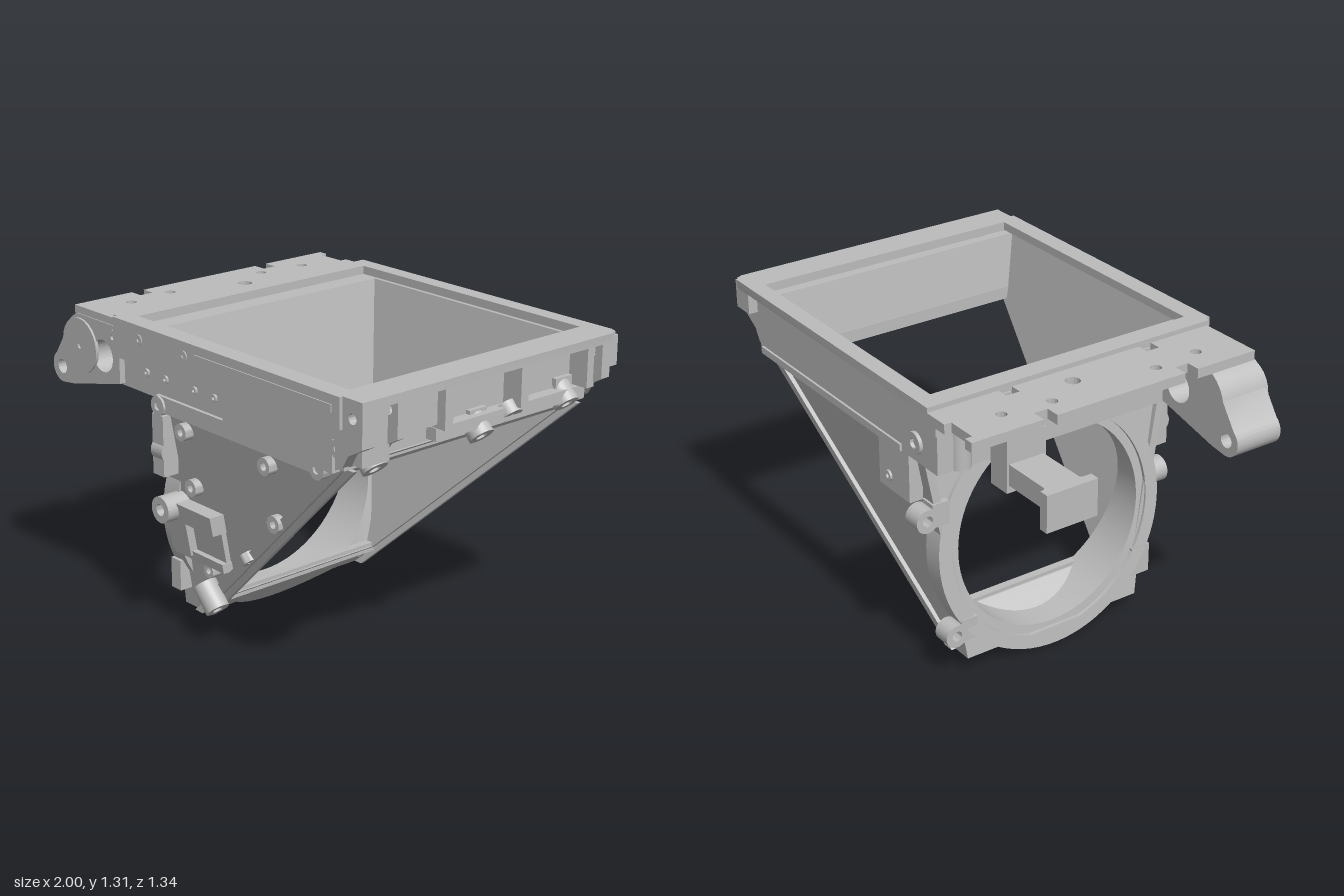
import * as THREE from 'three';
import { toCreasedNormals } from 'three/addons/utils/BufferGeometryUtils.js';

const grey = new THREE.MeshStandardMaterial({ color: 0xbcbcbc });
grey.name = 'cast grey';

export function createModel() {
  const root = new THREE.Group();
  root.name = 'mirrorHousing';

  const add = (name, geo) => {
    const m = new THREE.Mesh(toCreasedNormals(geo.index ? geo.toNonIndexed() : geo, 0.6), grey);
    m.name = name;
    root.add(m);
    return m;
  };
  // box from its limits
  const box = (name, x0, x1, y0, y1, z0, z1) => {
    const g = new THREE.BoxGeometry(x1 - x0, y1 - y0, z1 - z0);
    g.translate((x0 + x1) / 2, (y0 + y1) / 2, (z0 + z1) / 2);
    return add(name, g);
  };
  const poly = (pts) => new THREE.Shape(pts.map((p) => new THREE.Vector2(p[0], p[1])));
  const circle = (x, y, r) => new THREE.Path().absarc(x, y, r, 0, Math.PI * 2, true);
  const rect = (x0, x1, y0, y1) => new THREE.Path([[x0, y0], [x0, y1], [x1, y1], [x1, y0]].map((p) => new THREE.Vector2(...p)));
  const extrude = (shape, depth) => new THREE.ExtrudeGeometry(shape, { depth, bevelEnabled: false, curveSegments: 40 });

  // outline in (x, y), thickness along z, optionally leaning with height
  const plateZ = (name, shape, z0, z1, lean = 0) => {
    const g = extrude(shape, z1 - z0);
    const p = g.attributes.position;
    for (let i = 0; i < p.count; i++) p.setZ(i, p.getZ(i) + z0 + lean * p.getY(i));
    return add(name, g);
  };
  // outline in (x, -z), thickness along y
  const plateY = (name, shape, y0, y1) => {
    const g = extrude(shape, y1 - y0);
    g.rotateX(-Math.PI / 2);
    g.translate(0, y0, 0);
    return add(name, g);
  };
  // outline in (-z, y), x limits given as functions of height
  const plateX = (name, shape, xa, xb) => {
    const g = extrude(shape, 1);
    g.rotateY(Math.PI / 2);
    const p = g.attributes.position;
    for (let i = 0; i < p.count; i++) {
      const y = p.getY(i), t = p.getX(i);
      p.setX(i, xa(y) + (xb(y) - xa(y)) * t);
    }
    return add(name, g);
  };
  // drilled boss centred at a point along a direction
  const boss = (name, pos, dir, r, len, hole = r * 0.45) => {
    const s = new THREE.Shape().absarc(0, 0, r, 0, Math.PI * 2);
    s.holes.push(circle(0, 0, hole));
    const g = new THREE.ExtrudeGeometry(s, { depth: len, bevelEnabled: false, curveSegments: 12 });
    g.translate(0, 0, -len / 2);
    const m = add(name, g);
    m.quaternion.setFromUnitVectors(new THREE.Vector3(0, 0, 1), new THREE.Vector3(...dir).normalize());
    m.position.set(...pos);
    return m;
  };

  const slantX = (y) => -0.25 + y / 0.92;
  const frontX = (y) => -0.33 + 0.07 * y;
  const innerX = (y) => Math.min(slantX(y), -0.24 + (1.02 - y) * 0.19);
  const slantDir = [0.676, -0.737, 0];

  // lens wall, thicker towards the bottom
  const wall = poly([[-0.585, 1.04], [-0.437, 0.19], [-0.42, 0.07], [-0.28, 0.07], [0.28, 0.07], [0.42, 0.07], [0.437, 0.19], [0.585, 1.04]]);
  wall.holes.push(circle(0, 0.535, 0.437));
  plateX('lensWall', wall, (y) => frontX(y) + 0.015, innerX);
  // its continuation up to the frame rebate
  plateX('upperLensWall', poly([[-0.57, 1.02], [0.57, 1.02], [0.61, 1.27], [-0.61, 1.27]]), () => -0.4, innerX);

  // round lens flange
  const flange = new THREE.Shape().absarc(0, 0.535, 0.535, 0, Math.PI * 2);
  flange.holes.push(circle(0, 0.535, 0.475));
  plateX('lensFlange', flange, frontX, (y) => Math.min(innerX(y), frontX(y) + 0.09));

  // sloping plate closing the bottom, rounded to follow the flange
  const apron = new THREE.Shape();
  apron.moveTo(0.437, 0.17);
  apron.lineTo(-0.437, 0.17);
  apron.lineTo(-0.44, 0.07);
  apron.lineTo(-0.27, 0.073);
  apron.absarc(0, 0.535, 0.535, Math.PI * 1.333, Math.PI * 1.667);
  apron.lineTo(0.44, 0.07);
  for (const x of [-0.39, 0.39]) apron.holes.push(circle(x, 0.115, 0.016));
  plateX('lowerApron', apron, (y) => Math.max(frontX(y), slantX(y) - 0.05), slantX);
  plateX('apronCore', new THREE.Shape().absarc(0, 0.535, 0.53, Math.PI * 1.333, Math.PI * 1.667), frontX, (y) => slantX(y) - 0.01);
  box('lowerSill', -0.11, -0.075, 0.145, 0.185, -0.42, 0.42);

  // leaning side walls with a raised rim along the slanted edge
  const side = [[-0.27, 1.03], [-0.3, 0.08], [slantX(0.08), 0.08], [slantX(1.03), 1.03], [0.84, 1.27], [-0.36, 1.27], [-0.36, 1.03]];
  const rim = [[slantX(0.08) - 0.06, 0.08], [slantX(0.08), 0.08], [slantX(1.03), 1.03], [slantX(1.03) - 0.06, 1.03]];
  const lip = rim.map(([x, y]) => [x + 0.025, y - 0.012]);
  for (const s of [1, -1]) {
    const lim = (a, b) => (s > 0 ? [a, b] : [-b, -a]);
    plateZ('sideWall', poly(side), ...lim(0.368, 0.402), s * 0.18);
    plateZ('slantRim', poly(rim), ...lim(0.37, 0.42), s * 0.18);
    plateZ('slantLip', poly(lip), ...lim(0.385, 0.405), s * 0.18);
  }
  plateZ('slantTopBar', poly([[0.79, 0.985], [slantX(0.985), 0.985], [slantX(1.04), 1.04], [0.79, 1.04]]), -0.59, 0.59);
  plateZ('endWall', poly([[0.79, 1.02], [0.865, 1.02], [0.865, 1.27], [0.82, 1.27]]), -0.6, 0.6);

  // upper frame with a rebated opening
  const body = poly([[-0.44, -0.61], [0.87, -0.61], [0.87, 0.63], [-0.44, 0.63]]);
  body.holes.push(rect(-0.31, 0.84, -0.585, 0.585));
  plateY('frameBody', body, 1.02, 1.18);
  const mid = poly([[-0.44, -0.64], [0.87, -0.64], [0.87, 0.635], [-0.44, 0.635]]);
  mid.holes.push(rect(-0.34, 0.84, -0.605, 0.605));
  plateY('frameMiddle', mid, 1.18, 1.27);
  const top = poly([[-0.44, -0.64], [1, -0.64], [1, 0.63], [0.988, 0.658], [0.96, 0.67], [-0.44, 0.67]]);
  top.holes.push(rect(-0.36, 0.86, -0.58, 0.6));
  plateY('frameTop', top, 1.275, 1.31);

  // front face rails
  box('frontUpperRail', -0.42, 0.9, 1.19, 1.31, 0.63, 0.66);
  box('frontStepRail', 0.1, 0.86, 1.245, 1.275, 0.65, 0.665);
  box('frontMiddleRail', -0.42, 0.87, 1.14, 1.18, 0.61, 0.64);
  box('frontPlate', 0.23, 0.84, 1.01, 1.15, 0.59, 0.64);
  box('frontLowerRail', -0.2, 0.77, 0.975, 1.04, 0.575, 0.625);
  box('backGrooveRail', -0.2, 0.85, 1.02, 1.05, -0.64, -0.58);
  for (const x of [-0.27, -0.15, 0.03, 0.15]) boss('railPin', [x, 1.11, 0.61], [0, 0, 1], 0.016, 0.02);
  for (const x of [-0.25, 0.03]) boss('railPin', [x, 1.255, 0.66], [0, 0, 1], 0.02, 0.01);
  boss('cornerBoss', [-0.18, 1.0, 0.61], [0, 0, 1], 0.04, 0.05);
  boss('cornerBoss', [0.75, 1.0, 0.61], [0, 0, 1], 0.04, 0.05);
  boss('cornerBoss', [0.87, 1.11, 0.62], [0, 0, 1], 0.035, 0.05);

  // open channel at the end: cheeks, ledge and ribs
  const cheek = () => {
    const s = poly([[0.862, 1.03], [0.9, 1.05], [0.93, 1.1], [1, 1.14], [1, 1.31], [0.862, 1.31]]);
    s.holes.push(circle(0.95, 1.24, 0.02));
    return s;
  };
  plateZ('endCheek', cheek(), 0.58, 0.645);
  plateZ('endCheek', cheek(), 0.44, 0.48);
  plateZ('endCheek', cheek(), -0.62, -0.575);
  plateZ('endChamfer', poly([[0.865, 1.245], [0.985, 1.28], [0.865, 1.28]]), -0.575, 0.44);
  box('endCornerBlock', 0.865, 0.95, 1.05, 1.28, 0.47, 0.6);
  box('endCornerPad', 0.9, 1, 1.18, 1.3, -0.66, -0.6);
  box('endWallPad', 0.865, 0.93, 1.12, 1.28, 0.22, 0.44);
  box('endLedge', 0.865, 0.92, 1.05, 1.1, -0.575, 0.215);
  for (const z of [0.19, -0.2, -0.56]) box('endRib', 0.865, 0.96, 1.1, 1.28, z - 0.02, z + 0.02);
  for (const [z, y] of [[0.5, 1.045], [-0.03, 1.045], [-0.49, 1.07]]) {
    boss('slantBoss', [0.88, y, z], slantDir, 0.05, 0.09);
    box('bossWeb', 0.83, 0.89, y + 0.01, y + 0.07, z - 0.045, z + 0.045);
  }
  boss('ledgePin', [0.9, 1.08, -0.18], slantDir, 0.045, 0.05, 0.01);

  // perforated deck in front of the opening
  const deck = poly([[-0.72, -0.63], [-0.4, -0.63], [-0.4, 0.67], [-0.55, 0.67], [-0.55, 0.64], [-0.68, 0.64], [-0.68, 0.67], [-0.72, 0.67],
    [-0.72, 0.36], [-0.66, 0.36], [-0.66, 0.3], [-0.72, 0.3], [-0.72, -0.29], [-0.66, -0.29], [-0.66, -0.35], [-0.72, -0.35]]);
  for (const [x, z, r] of [[-0.6, -0.46, 0.022], [-0.62, -0.25, 0.022], [-0.53, -0.09, 0.03], [-0.62, 0.23, 0.022], [-0.6, 0.44, 0.022]]) deck.holes.push(circle(x, -z, r));
  for (const z of [-0.33, 0.32]) deck.holes.push(rect(-0.49, -0.425, -z - 0.03, -z + 0.03));
  plateY('deck', deck, 1.25, 1.29);

  // pivot block at the front corner
  const pivot = new THREE.Shape();
  pivot.moveTo(-0.42, 1.03);
  pivot.lineTo(-0.42, 1.26);
  pivot.lineTo(-0.7, 1.26);
  pivot.quadraticCurveTo(-0.77, 1.23, -0.79, 1.16);
  pivot.lineTo(-0.86, 1.06);
  pivot.absarc(-0.82, 1.01, 0.065, 2.3, 4.8, false);
  pivot.lineTo(-0.74, 0.955);
  pivot.holes.push(circle(-0.82, 1.01, 0.03), circle(-0.53, 1.12, 0.066));
  plateZ('pivotBlock', pivot, 0.42, 0.635);
  boss('pivotDisc', [-0.68, 1.13, 0.637], [0, 0, 1], 0.115, 0.014, 0.012);
  boss('pivotPin', [-0.45, 1.215, 0.637], [0, 0, 1], 0.03, 0.016, 0.01);

  // rear latch arm with flared end
  box('latchBracket', -0.72, -0.62, 1.04, 1.26, -0.52, -0.35);
  plateY('latchArm', poly([[-1, 0.33], [-0.955, 0.335], [-0.93, 0.36], [-0.65, 0.36], [-0.65, 0.51], [-0.93, 0.51], [-0.955, 0.545], [-1, 0.55]]), 1.07, 1.155);
  box('latchEnd', -1, -0.96, 1.02, 1.17, -0.55, -0.33);
  boss('latchPin', [-0.9, 1.06, -0.435], [0, 1, 0], 0.035, 0.08);
  boss('deckPost', [-0.42, 1.14, -0.52], [0, 1, 0], 0.045, 0.24);

  // bosses on the front wall
  for (const x of [-0.08, 0.42]) for (const y of [0.67, 0.91]) boss('wallBoss', [x, y, 0.415 + 0.18 * y], [0, 0, 1], 0.035, 0.05);

  // mounting bracket on the front wall
  plateZ('bracketTop', poly([[-0.2, 0.51], [0.06, 0.51], [0.06, 0.59], [-0.2, 0.59]]), 0.39, 0.47, 0.18);
  plateZ('bracketBase', poly([[-0.25, 0.34], [0.06, 0.34], [0.06, 0.38], [-0.25, 0.38]]), 0.39, 0.45, 0.18);
  plateZ('bracketCheek', poly([[-0.25, 0.36], [-0.13, 0.36], [-0.13, 0.53], [-0.25, 0.53]]), 0.39, 0.46, 0.18);
  plateZ('bracketTrough', poly([[-0.13, 0.37], [0.055, 0.37], [0.055, 0.52], [-0.13, 0.52]]), 0.39, 0.425, 0.18);
  boss('bracketBoss', [-0.2, 0.56, 0.56], [0, 0, 1], 0.055, 0.12);
  boss('bracketBoss', [-0.04, 0.32, 0.48], [0, 0, 1], 0.03, 0.06);
  boss('slantFoot', [-0.05, 0.2, 0.49], slantDir, 0.05, 0.12);
  boss('slantFoot', [0.2, 0.45, 0.5], slantDir, 0.03, 0.04);

  // lugs on the front side of the flange and drilled tabs on the rear side
  box('frontLug', -0.25, -0.18, 0.7, 0.95, 0.54, 0.61);
  boss('frontLugBoss', [-0.215, 0.8, 0.57], [1, 0, 0], 0.05, 0.07, 0.01);
  box('frontLowerLug', -0.31, -0.25, 0.16, 0.29, 0.4, 0.49);
  for (const [x, y, z] of [[-0.25, 0.74, -0.58], [-0.28, 0.2, -0.475]]) {
    boss('flangeTab', [x, y, z], [1, 0, 0], 0.05, 0.08);
    box('tabWeb', x - 0.035, x + 0.035, y - 0.04, y + 0.06, z + 0.025, z + 0.1);
  }

  // pad on the rear wall
  box('rearPad', -0.22, -0.01, 0.8, 1.03, -0.615, -0.555);
  boss('rearPadPin', [-0.08, 0.86, -0.615], [0, 0, 1], 0.022, 0.02);
  boss('rearCornerBoss', [-0.3, 1.1, -0.625], [0, 0, 1], 0.045, 0.04);
  return root;
}
